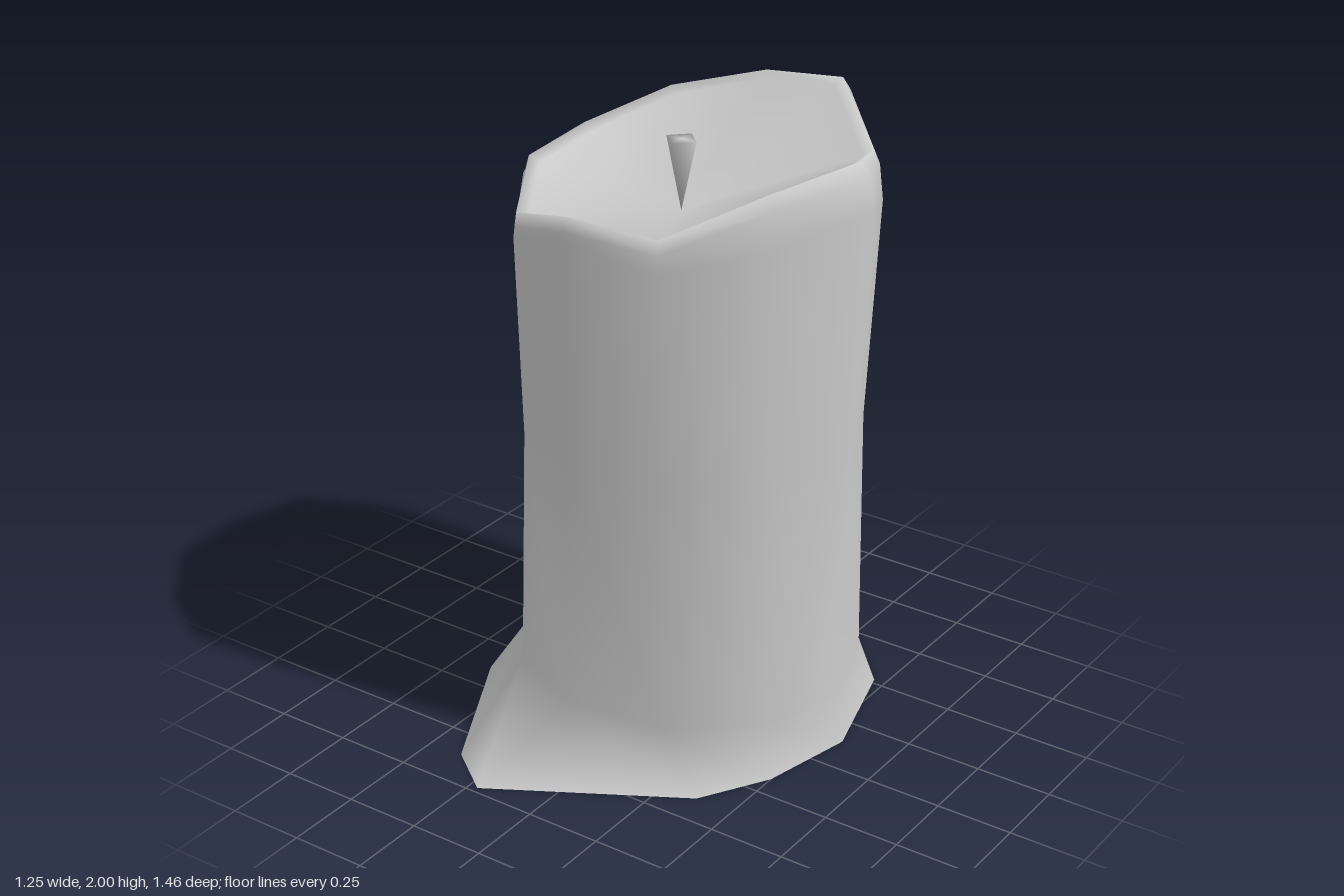
import * as THREE from 'three';
import { mergeVertices } from 'three/addons/utils/BufferGeometryUtils.js';

const N = 11; // sides of the candle, running from the back round by its left side
const CX = 0.01, CZ = -0.15;

// [x, z] outlines, bottom to middle
const foot = [[-0.12, -0.73], [0.26, -0.72], [0.46, -0.52], [0.57, -0.14], [0.5, 0.17], [0.37, 0.39],
  [-0.22, 0.73], [-0.38, 0.61], [-0.63, 0.14], [-0.61, -0.33], [-0.43, -0.6]];
const ankle = [[-0.11, -0.68], [0.19, -0.66], [0.43, -0.46], [0.54, -0.14], [0.46, 0.16], [0.21, 0.36],
  [-0.11, 0.4], [-0.39, 0.27], [-0.54, 0.02], [-0.54, -0.3], [-0.4, -0.57]];
const waist = [[-0.11, -0.65], [0.19, -0.64], [0.43, -0.44], [0.572, -0.14], [0.46, 0.16], [0.21, 0.36],
  [-0.11, 0.4], [-0.36, 0.27], [-0.47, 0], [-0.47, -0.28], [-0.37, -0.55]];
// [x, y, z] of the widest line below the rim, and the heights of the melted rim
const shoulder = [[-0.11, 1.75, -0.72], [0.21, 1.78, -0.7], [0.46, 1.72, -0.46], [0.625, 1.82, -0.13],
  [0.48, 1.78, 0.18], [0.21, 1.7, 0.37], [-0.11, 1.74, 0.395], [-0.39, 1.64, 0.26],
  [-0.55, 1.73, 0], [-0.555, 1.75, -0.3], [-0.42, 1.74, -0.6]];
const rimY = [1.96, 2, 1.88, 1.97, 1.93, 1.8, 1.81, 1.72, 1.79, 1.81, 1.88];

const at = (outline, y) => outline.map(([x, z]) => [x, y, z]);

// Ring shrunk from the shoulder towards the axis; high points lean in more
function rimRing(lean, inset, drop) {
  return shoulder.map(([x, , z], i) => {
    const f = 1 - lean * (0.035 + 0.25 * (rimY[i] - 1.79)) - inset;
    return [CX + (x - CX) * f, rimY[i] - drop, CZ + (z - CZ) * f];
  });
}

function makeGeometry(points, index) {
  const g = new THREE.BufferGeometry();
  g.setAttribute('position', new THREE.Float32BufferAttribute(points.flat(), 3));
  g.setIndex(index);
  g.computeVertexNormals();
  return g;
}

// Skin rings together and close the last one at a centre point
function skin(rings, centre) {
  const index = [];
  const last = rings.length - 1;
  for (let i = 0; i < N; i++) {
    const j = (i + 1) % N;
    for (let r = 0; r < last; r++) {
      const a = r * N, b = a + N;
      index.push(a + i, b + i, b + j, a + i, b + j, a + j);
    }
    index.push(last * N + i, rings.length * N, last * N + j);
  }
  return makeGeometry([...rings.flat(), centre], index);
}

export function createModel() {
  const group = new THREE.Group();
  group.name = 'candle';
  const material = new THREE.MeshStandardMaterial({ color: 0xcccccc });
  const add = (name, geometry) => {
    const mesh = new THREE.Mesh(geometry, material);
    mesh.name = name;
    group.add(mesh);
    return mesh;
  };

  // Wax body: spread foot, waist, rounded uneven rim and hollow top
  add('waxBody', skin([
    at(foot, 0), at(ankle, 0.18), at(waist, 1), shoulder,
    rimRing(0.4, 0, 0.045), rimRing(1, 0, 0), rimRing(1, 0.06, 0.02),
  ], [-0.06, 1.67, -0.145]));

  // Flat underside
  const fan = [];
  for (let i = 0; i < N; i++) fan.push(N, i, (i + 1) % N);
  add('underside', makeGeometry([...at(foot, 0), [CX, 0, -0.05]], fan));

  // Wick: four-sided, tapering down to the pool
  const cone = new THREE.ConeGeometry(0.055, 0.23, 4);
  cone.deleteAttribute('uv');
  cone.deleteAttribute('normal');
  const wickGeometry = mergeVertices(cone);
  wickGeometry.computeVertexNormals();
  const wick = add('wick', wickGeometry);
  wick.rotation.x = Math.PI;
  wick.position.set(-0.06, 1.785, -0.145);

  return group;
}
